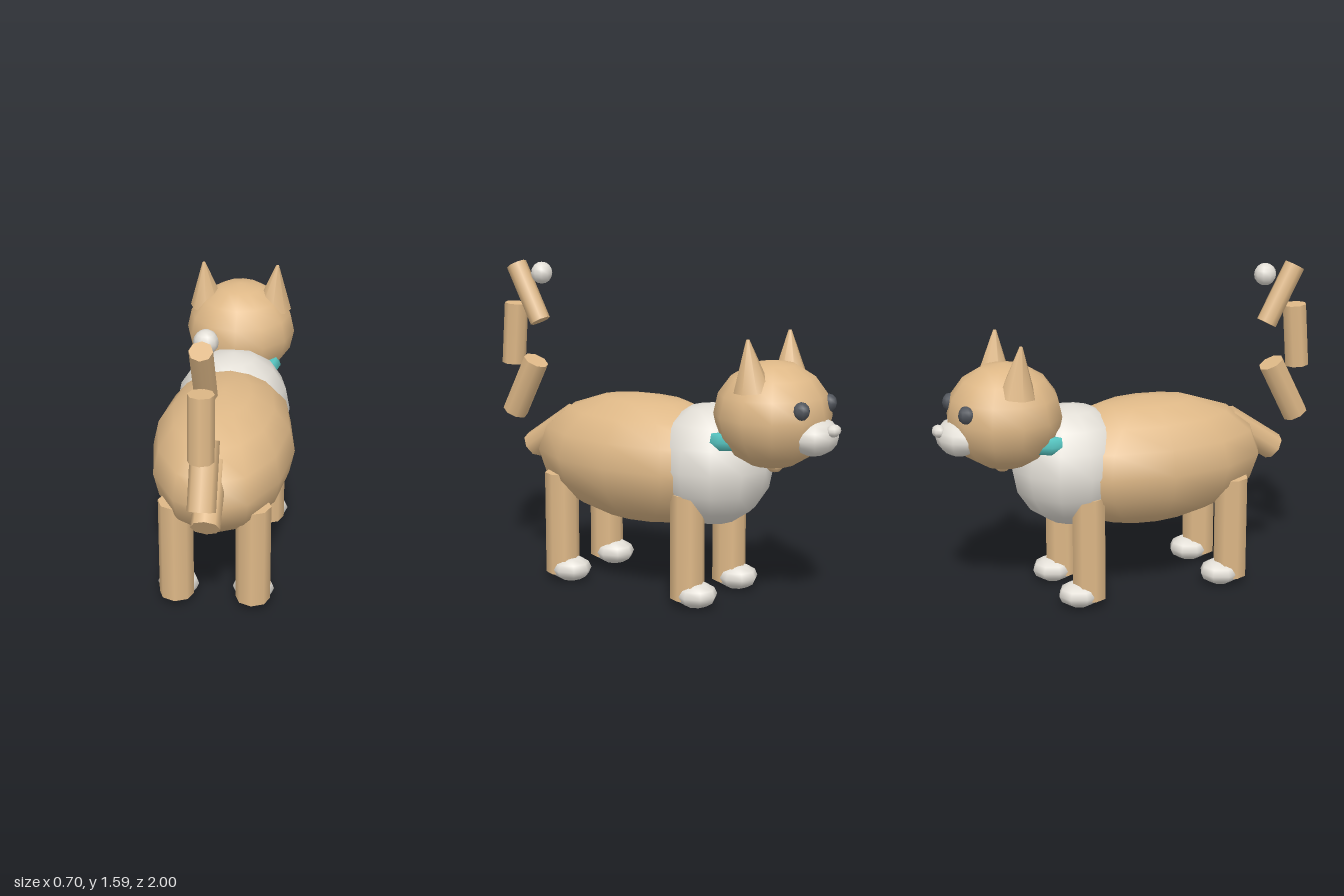
import * as THREE from 'three';

const mat = (name, color) => {
  const m = new THREE.MeshStandardMaterial({ color });
  m.name = name;
  return m;
};

export function createModel() {
  const tan = mat('tan fur', 0xdeb887);
  const white = mat('white fur', 0xe2ded6);
  const dark = mat('eye grey', 0x50545b);
  const teal = mat('collar teal', 0x56c4c0);
  const cat = new THREE.Group();
  cat.name = 'cat';

  const add = (name, geometry, material, pos) => {
    const mesh = new THREE.Mesh(geometry, material);
    mesh.name = name;
    mesh.position.set(...pos);
    cat.add(mesh);
    return mesh;
  };
  const ball = (name, material, pos, [rx, ry, rz], w = 12, h = 8) =>
    add(name, new THREE.SphereGeometry(1, w, h).scale(rx, ry, rz), material, pos);

  // Cylinder or cone running from point a to point b
  const rod = (name, material, a, b, ra, rb, sides = 8) => {
    const from = new THREE.Vector3(...a), to = new THREE.Vector3(...b);
    const dir = to.clone().sub(from);
    const geometry = new THREE.CylinderGeometry(rb, ra, dir.length(), sides);
    const mesh = add(name, geometry, material, from.add(to).multiplyScalar(0.5).toArray());
    mesh.quaternion.setFromUnitVectors(new THREE.Vector3(0, 1, 0), dir.normalize());
    return mesh;
  };

  // Torso and head, facing -z
  ball('body', tan, [0, 0.655, 0.1], [0.35, 0.32, 0.62]);
  ball('chest', white, [0, 0.675, -0.305], [0.29, 0.3, 0.3]);
  ball('head', tan, [0, 0.957, -0.64], [0.28, 0.257, 0.28]);
  ball('muzzle', white, [0, 0.877, -0.87], [0.14, 0.09, 0.105], 10, 8);
  ball('nose', white, [0, 0.915, -0.965], [0.045, 0.03, 0.033], 8, 6);
  ball('bell', tan, [0, 0.72, -0.655], [0.045, 0.043, 0.045], 8, 6);

  // Collar, mostly sunk between head and chest
  const collar = add('collar', new THREE.TorusGeometry(0.18, 0.046, 6, 12), teal, [0, 0.835, -0.48]);
  collar.rotation.x = Math.PI / 2 + 0.1;

  for (const s of [1, -1]) {
    const side = s > 0 ? 'PlusX' : 'MinusX';
    rod('ear' + side, tan, [s * 0.172, 1.092, -0.632], [s * 0.19, 1.33, -0.615], 0.09, 0.008);
    ball('eye' + side, dark, [s * 0.127, 1.015, -0.865], [0.042, 0.044, 0.042], 8, 6);
    // Legs with paws pointing forward
    for (const [end, z] of [['front', -0.285], ['hind', 0.48]]) {
      rod(end + 'Leg' + side, tan, [s * 0.187, 0.04, z], [s * 0.187, 0.56, z], 0.085, 0.085);
      ball(end + 'Paw' + side, white, [s * 0.185, 0.064, z - 0.05], [0.102, 0.063, 0.107], 8, 6);
    }
  }

  // Tail in separate segments: [start y, z], [end y, z], radius
  const tail = [
    [[0.81, 0.537], [0.625, 0.81], 0.069],
    [[0.789, 0.936], [1.072, 0.789], 0.066],
    [[1.048, 0.938], [1.364, 0.914], 0.061],
    [[1.281, 0.757], [1.564, 0.909], 0.053],
  ];
  tail.forEach(([a, b, r], i) => rod('tailSegment' + (i + 1), tan, [0, ...a], [0, ...b], r, r));
  ball('tailTip', white, [0, 1.53, 0.743], [0.056, 0.056, 0.056], 10, 8);

  return cat;
}
